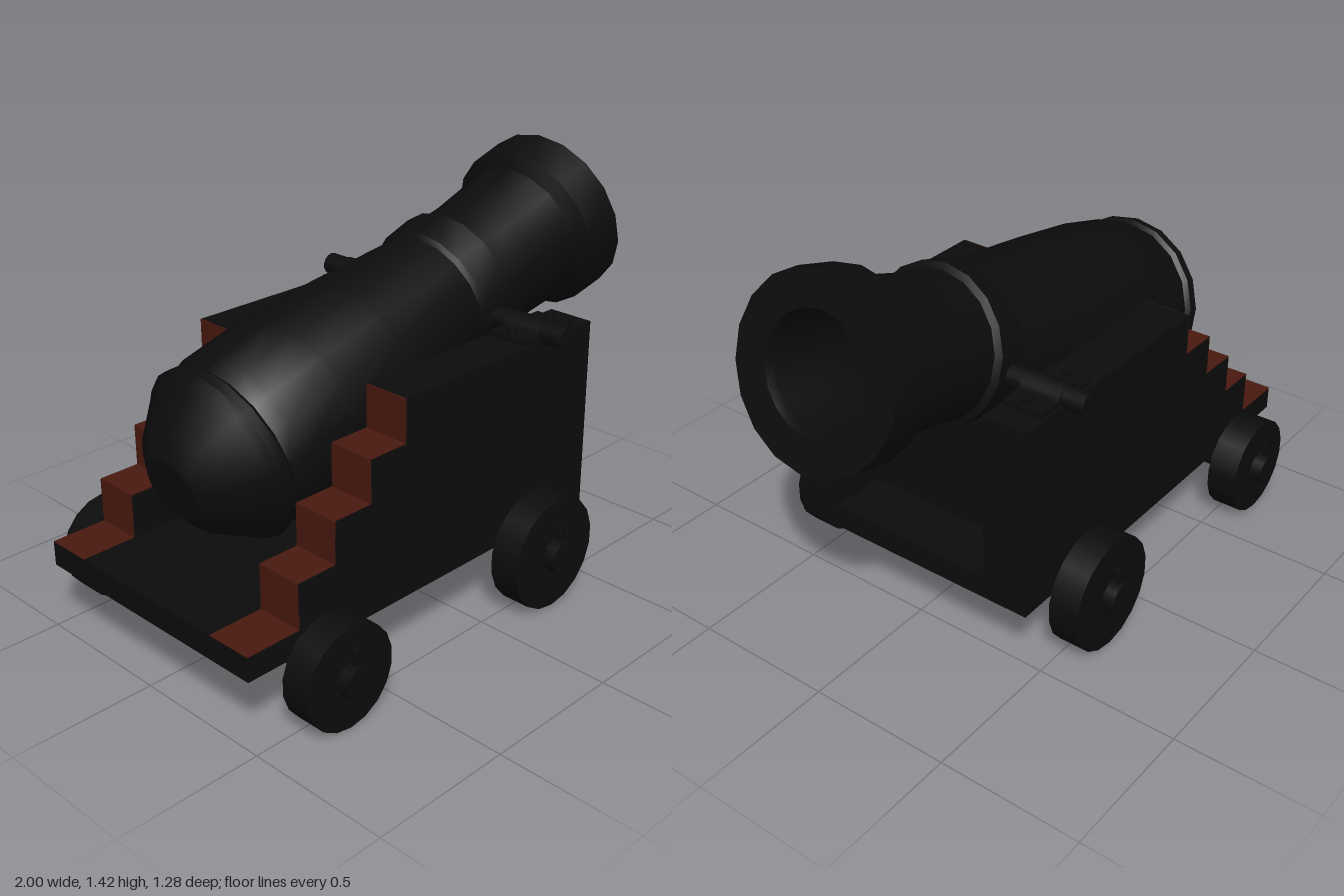
import * as THREE from 'three';
import { toCreasedNormals } from 'three/addons/utils/BufferGeometryUtils.js';

const iron = new THREE.MeshStandardMaterial({ color: 0x0c0c0c });
const red = new THREE.MeshStandardMaterial({ color: 0x4a1a10 });

export function createModel() {
  const model = new THREE.Group();

  function add(name, geometry, x, y, z, material = iron, parent = model) {
    const mesh = new THREE.Mesh(geometry, material);
    mesh.name = name;
    mesh.position.set(x, y, z);
    parent.add(mesh);
    return mesh;
  }
  const box = (w, h, d) => new THREE.BoxGeometry(w, h, d);
  // Cylinder lying along z, with a vertex at the bottom
  const rod = (r, length, sides = 18) =>
    new THREE.CylinderGeometry(r, r, length, sides).rotateX(Math.PI / 2);

  // Barrel: [radius, distance behind the muzzle], from breech to bore
  const profile = [
    [0, -1.85], [0.115, -1.85], [0.19, -1.803], [0.285, -1.685], [0.308, -1.66],
    [0.306, -1.625], [0.292, -1.61], [0.305, -1.56], [0.308, -1.34], [0.288, -1.07],
    [0.245, -0.675], [0.258, -0.66], [0.266, -0.54], [0.243, -0.53], [0.241, -0.4],
    [0.257, -0.175], [0.303, -0.145], [0.308, 0], [0.19, 0], [0.18, -0.03],
    [0.18, -0.35], [0, -0.35],
  ].map(([r, s]) => new THREE.Vector2(r, s));
  const tilt = THREE.MathUtils.degToRad(15.3);
  const barrel = add('barrel',
    toCreasedNormals(new THREE.LatheGeometry(profile, 18, Math.PI / 2), 0.5), 0.915, 1.125, 0);
  barrel.rotation.z = tilt - Math.PI / 2;
  add('trunnions', rod(0.039, 1.09, 14), 0.33, 0.936, 0);

  // Carriage bed and front cross wall
  add('bed', box(1.55, 0.085, 0.95), -0.225, 0.2825, 0);
  add('transom', box(0.1, 0.41, 0.62), 0.3, 0.53, 0);

  // Stepped cheeks with painted treads and risers
  const stepX = [-1, -0.8, -0.65, -0.5, -0.35];
  const stepY = [0.325, 0.48, 0.625, 0.772, 0.92];
  const outline = new THREE.Shape();
  outline.moveTo(0.55, 0.325);
  outline.lineTo(0.55, 0.92);
  for (let i = 4; i > 0; i--) {
    outline.lineTo(stepX[i], stepY[i]);
    outline.lineTo(stepX[i], stepY[i - 1]);
  }
  const cheekGeometry = new THREE.ExtrudeGeometry(outline, { depth: 0.165, bevelEnabled: false });
  cheekGeometry.translate(0, 0, -0.0825);

  for (const side of [1, -1]) {
    const prefix = side > 0 ? 'left' : 'right';
    const z = side * 0.3925;
    const cheek = new THREE.Group();
    cheek.name = prefix + 'Cheek';
    model.add(cheek);
    add('cheekPlank', cheekGeometry, 0, 0, z, iron, cheek);
    for (let i = 0; i < 4; i++) {
      const run = stepX[i + 1] - stepX[i];
      const rise = stepY[i + 1] - stepY[i];
      add('tread', box(run, 0.004, 0.165), stepX[i] + run / 2, stepY[i], z, red, cheek);
      add('riser', box(0.004, rise, 0.165), stepX[i + 1], stepY[i] + rise / 2, z, red, cheek);
    }

    // Strap holding the trunnion down
    add('trunnionCap', rod(0.052, 0.145, 14), 0.33, 0.926, z, iron, cheek);
    add('capFlange', box(0.25, 0.02, 0.145), 0.335, 0.93, z, iron, cheek);
    for (const x of [0.235, 0.435]) {
      add('capBolt', new THREE.CylinderGeometry(0.016, 0.016, 0.02, 8), x, 0.948, z, iron, cheek);
    }
  }

  // Axles, wheels and linch pins
  for (const [name, x, r] of [['front', 0.25, 0.2], ['rear', -0.712, 0.175]]) {
    add(name + 'Axle', rod(0.057, 1.284), x, r, 0);
    for (const side of [1, -1]) {
      add(name + 'Wheel', rod(r, 0.108), x, r, side * 0.546);
      add(name + 'LinchPin', new THREE.CylinderGeometry(0.007, 0.007, 0.1, 8), x, r + 0.05, side * 0.621);
      add(name + 'PinHead', new THREE.CylinderGeometry(0.011, 0.011, 0.024, 8), x, r + 0.098, side * 0.621);
    }
  }
  return model;
}
